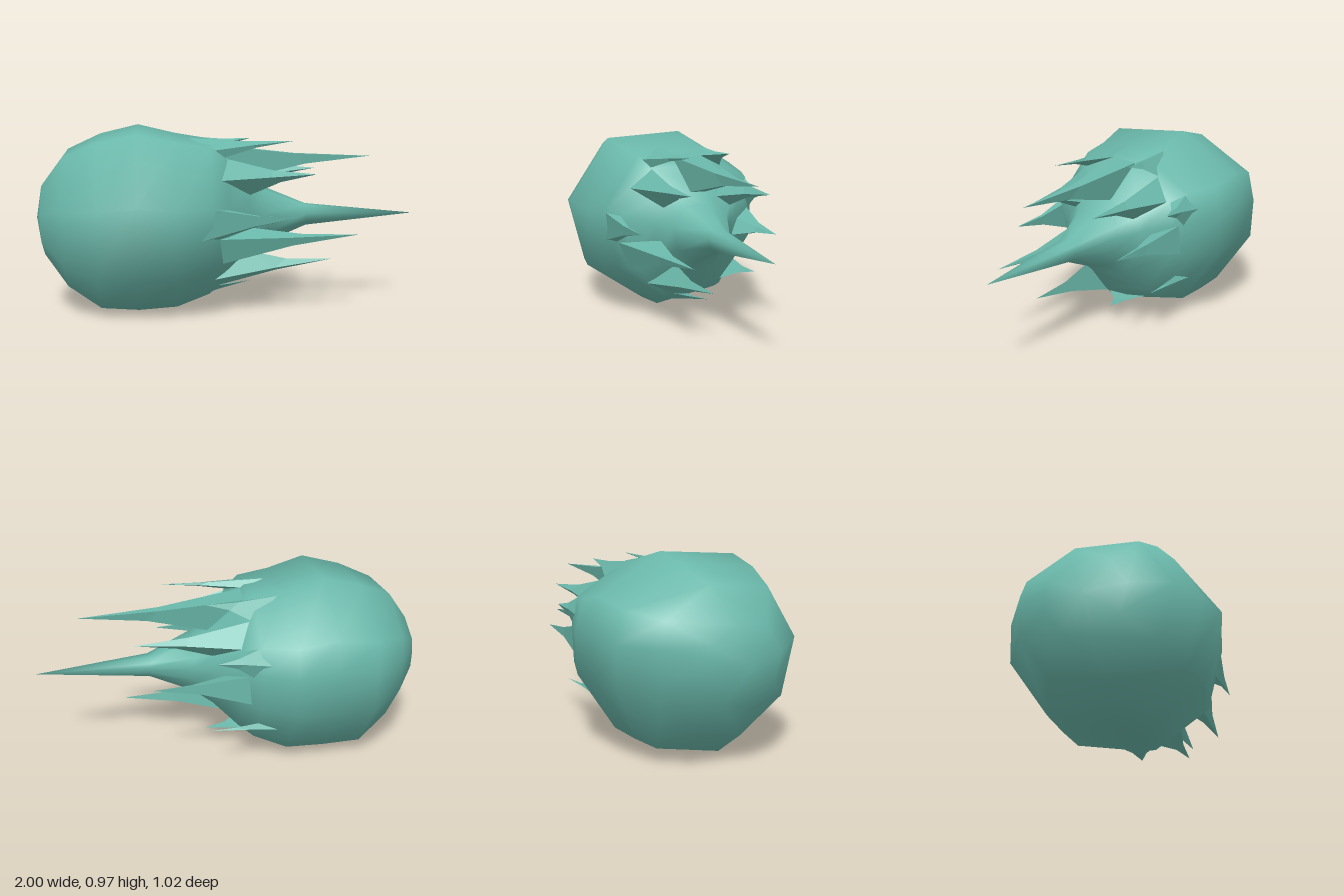
import * as THREE from 'three';
import { mergeVertices } from 'three/addons/utils/BufferGeometryUtils.js';

const CY = 0.49; // height of the long axis

// body profile: [x along the axis, radius]
const PROFILE = [
  [-1, 0], [-0.96, 0.2], [-0.84, 0.375], [-0.67, 0.48], [-0.47, 0.51], [-0.27, 0.48],
  [-0.1, 0.43], [-0.02, 0.36], [0.1, 0.23], [0.2, 0.155], [0.42, 0.06], [1, 0],
];
const WIDEST = 4; // index of the widest ring

// uneven cross-section: [degrees from +z toward +y, radius factor], as [z, y]
const SECTION = [
  [12, 1.02], [327, 0.965], [280, 0.975], [236, 0.99], [192, 1.0], [167, 1.025], [149, 1.075], [107, 0.975], [58, 1.035],
].map(([deg, f]) => {
  const a = THREE.MathUtils.degToRad(deg);
  return [f * Math.cos(a), f * Math.sin(a)];
});

const cross = (a, b) => a[0] * b[1] - a[1] * b[0];

// x of the faceted body's front half at a given z and height
function bodyX(z, y) {
  const p = [z, y - CY];
  let r = 0;
  SECTION.forEach((a, i) => {
    const b = SECTION[(i + 1) % SECTION.length];
    const s = cross(p, b) / cross(a, b), t = cross(a, p) / cross(a, b);
    if (s >= 0 && t >= 0) r = s + t;
  });
  for (let i = WIDEST + 1; i < PROFILE.length - 1; i++) {
    const [x0, r0] = PROFILE[i], [x1, r1] = PROFILE[i + 1];
    if (r >= r1) return x0 + (x1 - x0) * Math.max(0, (r0 - r) / (r0 - r1));
  }
  return 1;
}

// smooth body drawn out into the central tail
function bodyGeometry() {
  const g = new THREE.LatheGeometry(PROFILE.map(([x, r]) => new THREE.Vector2(r, x)), SECTION.length);
  const p = g.attributes.position;
  for (let i = 0; i < p.count; i++) {
    const ring = i % PROFILE.length;
    const [z, y] = SECTION[Math.floor(i / PROFILE.length) % SECTION.length];
    const [x, r] = PROFILE[ring];
    // the rings beside the widest one sag down and to the back
    const sag = Math.abs(ring - WIDEST) === 1 ? 1 : 0;
    p.setXYZ(i, x, y * r - 0.02 * sag, z * r - 0.015 * sag);
  }
  g.deleteAttribute('normal');
  g.deleteAttribute('uv');
  const merged = mergeVertices(g);
  merged.computeVertexNormals();
  return merged;
}

// flared spike: base corners [z, y] on the body, a thin middle section, a point
function spikeGeometry(tip, corners) {
  const T = new THREE.Vector3(...tip);
  const base = corners.map(([z, y]) => new THREE.Vector3(bodyX(z, y) - 0.01, y, z));
  const c = base.reduce((s, p) => s.add(p), new THREE.Vector3()).divideScalar(base.length);
  const angle = (p) => Math.atan2(p.y - c.y, c.z - p.z);
  base.sort((a, b) => angle(a) - angle(b));
  const centre = c.clone().lerp(T, 0.5);
  const mid = base.map((p) => p.clone().sub(c).multiplyScalar(0.32).add(centre));
  const pts = [];
  base.forEach((a, i) => {
    const j = (i + 1) % base.length;
    pts.push(a, base[j], mid[j], a, mid[j], mid[i], mid[i], mid[j], T);
  });
  const g = new THREE.BufferGeometry().setFromPoints(pts);
  g.computeVertexNormals();
  return g;
}

// [tip x, y, z], base corners [z, y]
const SPIKES = [
  [[0.34, 0.89, 0.12], [[0.22, 0.85], [0.19, 0.81], [0.055, 0.865], [0.065, 0.905]]],
  [[0.77, 0.797, -0.03], [[0.055, 0.865], [-0.1, 0.86], [-0.06, 0.69], [0.02, 0.69]]],
  [[0.14, 0.885, -0.185], [[-0.1, 0.86], [-0.17, 0.9], [-0.23, 0.8]]],
  [[0.45, 0.72, 0.165], [[0.3, 0.705], [0.17, 0.615], [0.1, 0.66], [0.19, 0.81]]],
  [[0.51, 0.715, -0.23], [[-0.13, 0.66], [-0.2, 0.61], [-0.32, 0.69], [-0.23, 0.8]]],
  [[0.12, 0.66, -0.4], [[-0.33, 0.69], [-0.385, 0.725], [-0.395, 0.56], [-0.44, 0.64]]],
  [[0.43, 0.5, -0.31], [[-0.21, 0.45], [-0.27, 0.53], [-0.38, 0.57], [-0.385, 0.41]]],
  [[0.34, 0.53, 0.375], [[0.42, 0.58], [0.36, 0.57], [0.365, 0.42], [0.4, 0.42]]],
  [[0.66, 0.415, 0.235], [[0.31, 0.285], [0.16, 0.375], [0.19, 0.45], [0.36, 0.42]]],
  [[0.55, 0.26, 0.085], [[0.2, 0.18], [0.065, 0.12], [0.1, 0.315]]],
  [[0.16, 0.25, -0.33], [[-0.22, 0.17], [-0.365, 0.235], [-0.33, 0.27]]],
  [[0.13, 0.115, -0.07], [[0.065, 0.12], [0.08, 0.04], [-0.1, 0.06]]],
];

export function createModel() {
  const model = new THREE.Group();
  model.name = 'comet';
  const color = 0x6ab8aa;

  const body = new THREE.Mesh(bodyGeometry(), new THREE.MeshStandardMaterial({ color }));
  body.name = 'body';
  body.position.y = CY;
  model.add(body);

  // flame spikes around the tail
  const spikeMaterial = new THREE.MeshStandardMaterial({ color, flatShading: true, side: THREE.DoubleSide });
  SPIKES.forEach(([tip, corners], i) => {
    const spike = new THREE.Mesh(spikeGeometry(tip, corners), spikeMaterial);
    spike.name = `spike${i + 1}`;
    model.add(spike);
  });
  return model;
}
